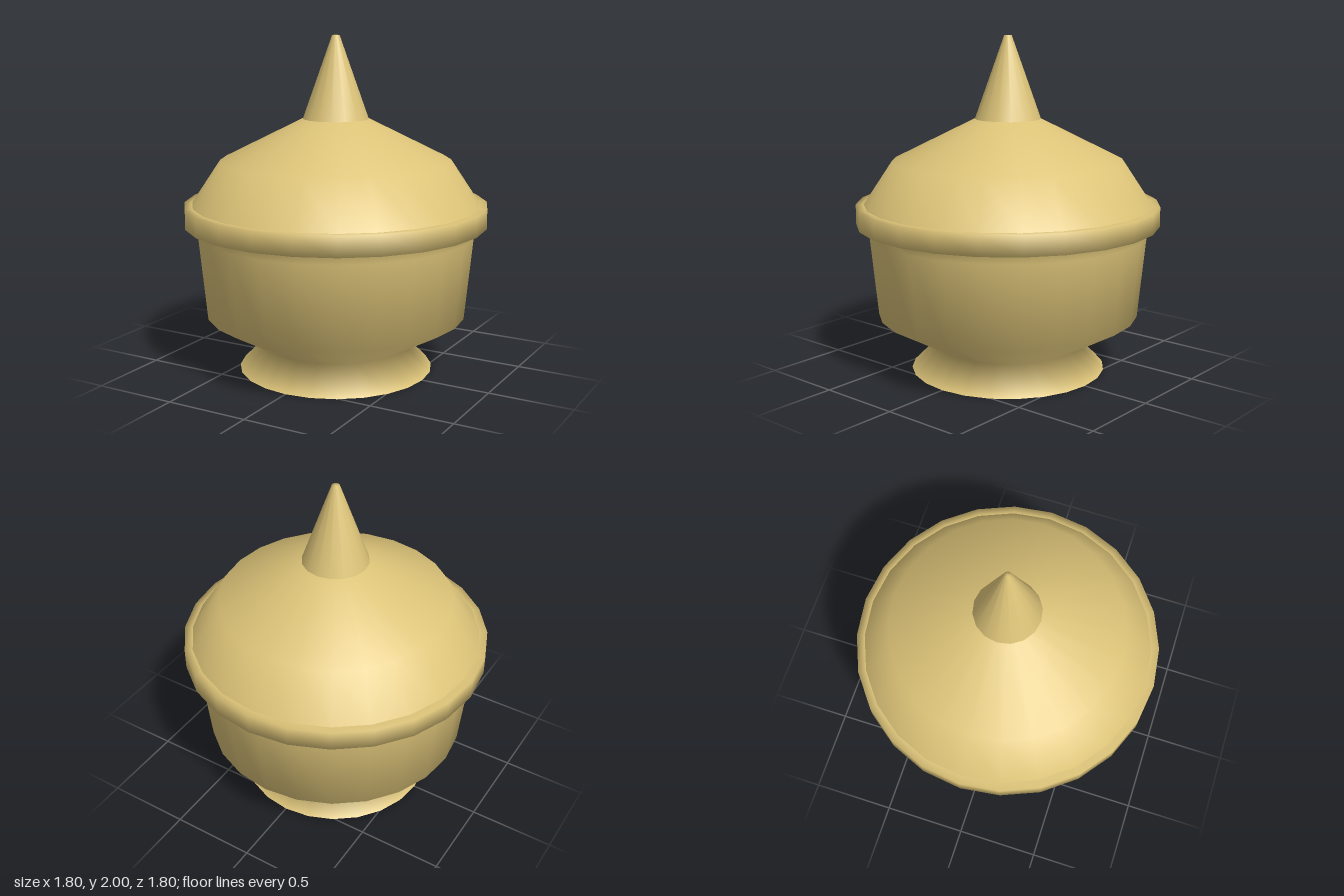
import * as THREE from 'three';

// Lidded urn, turned from simple profiles listed from bottom to top.
export function createModel() {
  const group = new THREE.Group();
  const brass = new THREE.MeshStandardMaterial({ color: 0xdcc378 });
  brass.name = 'brass';

  function turned(name, profile, sides = 24) {
    const points = profile.map(([r, y]) => new THREE.Vector2(r, y));
    const mesh = new THREE.Mesh(new THREE.LatheGeometry(points, sides), brass);
    mesh.name = name;
    group.add(mesh);
  }

  // Underside and flared foot, running into the bowl
  turned('footBase', [[0, 0], [0.585, 0]]);
  turned('bowl', [[0.585, 0], [0.435, 0.15], [0.78, 0.345], [0.828, 0.84], [0.85, 0.9]]);

  // Projecting band where lid meets bowl
  turned('rim', [[0.82, 0.897], [0.902, 0.897], [0.902, 1.015], [0.85, 1.015]]);

  // Domed lid
  turned('lid', [[0.855, 1.015], [0.685, 1.27], [0.195, 1.515], [0, 1.515]]);

  // Pointed finial with a tiny flat tip
  turned('finial', [[0.195, 1.515], [0.022, 2], [0, 2]], 16);

  return group;
}
